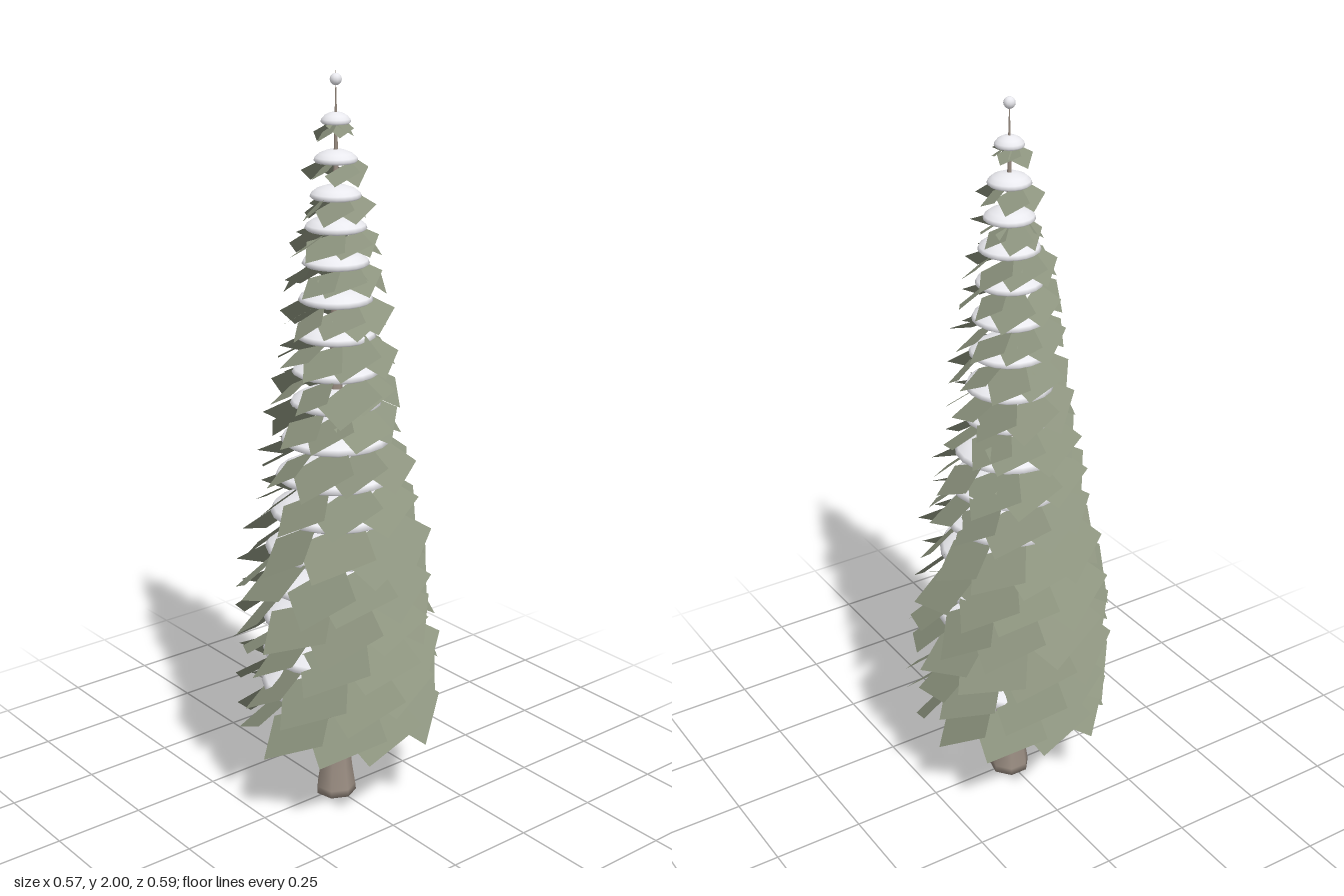
import * as THREE from 'three';
import { mergeGeometries } from 'three/addons/utils/BufferGeometryUtils.js';

// rim height, snow radius, reach of the needle cards, number of cards
const TIERS = [
  [0.35, 0.205, 0.265, 10], [0.45, 0.2, 0.265, 10], [0.55, 0.2, 0.265, 10],
  [0.65, 0.195, 0.26, 10], [0.75, 0.19, 0.255, 10], [0.85, 0.175, 0.235, 10],
  [0.95, 0.16, 0.205, 10], [1.05, 0.145, 0.195, 10], [1.15, 0.12, 0.165, 9],
  [1.235, 0.115, 0.155, 9], [1.33, 0.105, 0.145, 9], [1.425, 0.097, 0.135, 9],
  [1.52, 0.087, 0.118, 8], [1.61, 0.08, 0.105, 8], [1.69, 0.066, 0.082, 7],
  [1.78, 0.056, 0.07, 6], [1.875, 0.038, 0.042, 5],
];

let seed = 7;
function jitter(amount) {
  seed = (seed * 16807) % 2147483647;
  return (seed / 2147483647 * 2 - 1) * amount;
}

function addMesh(parent, name, geometry, material) {
  const mesh = new THREE.Mesh(geometry, material);
  mesh.name = name;
  parent.add(mesh);
}

// A flat card that slopes outward and down, rolled so one end overlaps its neighbour
function needleCard(angle, y, reach) {
  const width = 0.035 + reach * 0.58 + jitter(0.015);
  const length = 0.03 + reach * 0.4 + jitter(0.01);
  const pitch = 0.56 + jitter(0.12);
  return new THREE.PlaneGeometry(width, length)
    .rotateX(-Math.PI / 2)
    .rotateX(pitch)
    .rotateZ(0.45 + jitter(0.17))
    .rotateY(jitter(0.14))
    .translate(0, y, reach + jitter(0.012) - length / 2 * Math.cos(pitch))
    .rotateY(angle);
}

// Rounded snow shell with a slightly tucked rim
function snowCap(y, radius) {
  const height = 0.016 + radius * 0.18;
  const profile = [[0.9, -0.25], [1, -0.05], [0.95, 0.25], [0.75, 0.62], [0.4, 0.92], [0, 1]];
  return new THREE.LatheGeometry(
    profile.map(([r, h]) => new THREE.Vector2(r * radius, h * height)), 20
  ).translate(0, y, 0);
}

export function createModel() {
  const tree = new THREE.Group();
  tree.name = 'snowyConifer';
  const bark = new THREE.MeshStandardMaterial({ color: 0x9a8d82 });
  const needles = new THREE.MeshStandardMaterial({ color: 0x8c937e, side: THREE.DoubleSide });
  const snow = new THREE.MeshStandardMaterial({ color: 0xe9e9ee, side: THREE.DoubleSide });

  // Trunk, flared at the foot and tapering to the tip
  const trunk = [[0, 0], [0.057, 0], [0.055, 0.02], [0.046, 0.08], [0.038, 0.16],
    [0.034, 0.25], [0.025, 0.8], [0.014, 1.4], [0.007, 1.75], [0.003, 1.9], [0, 2]];
  addMesh(tree, 'trunk', new THREE.LatheGeometry(
    trunk.map(([r, y]) => new THREE.Vector2(r, y)), 7), bark);

  // Small bark collar beneath the lowest branches
  addMesh(tree, 'trunkCollar', new THREE.TorusGeometry(0.034, 0.007, 5, 9)
    .rotateX(Math.PI / 2).translate(0, 0.22, 0), bark);

  // Tiers of needle cards, each under a cap of snow
  TIERS.forEach(([y, snowRadius, reach, count], i) => {
    const tier = new THREE.Group();
    tier.name = `tier${i + 1}`;
    const drop = 0.012 + reach * 0.2;
    const cards = [];
    for (let k = 0; k < count; k++) {
      const angle = (k + i * 0.37) / count * Math.PI * 2 + jitter(0.1);
      cards.push(needleCard(angle, y - drop + jitter(0.008), reach));
    }
    addMesh(tier, 'needles', mergeGeometries(cards), needles);
    addMesh(tier, 'snowCap', snowCap(y, snowRadius), snow);
    tree.add(tier);
  });

  // Bead of snow on the tip
  addMesh(tree, 'tipSnow', new THREE.SphereGeometry(0.015, 10, 8)
    .translate(0, 1.977, 0), snow);
  return tree;
}
